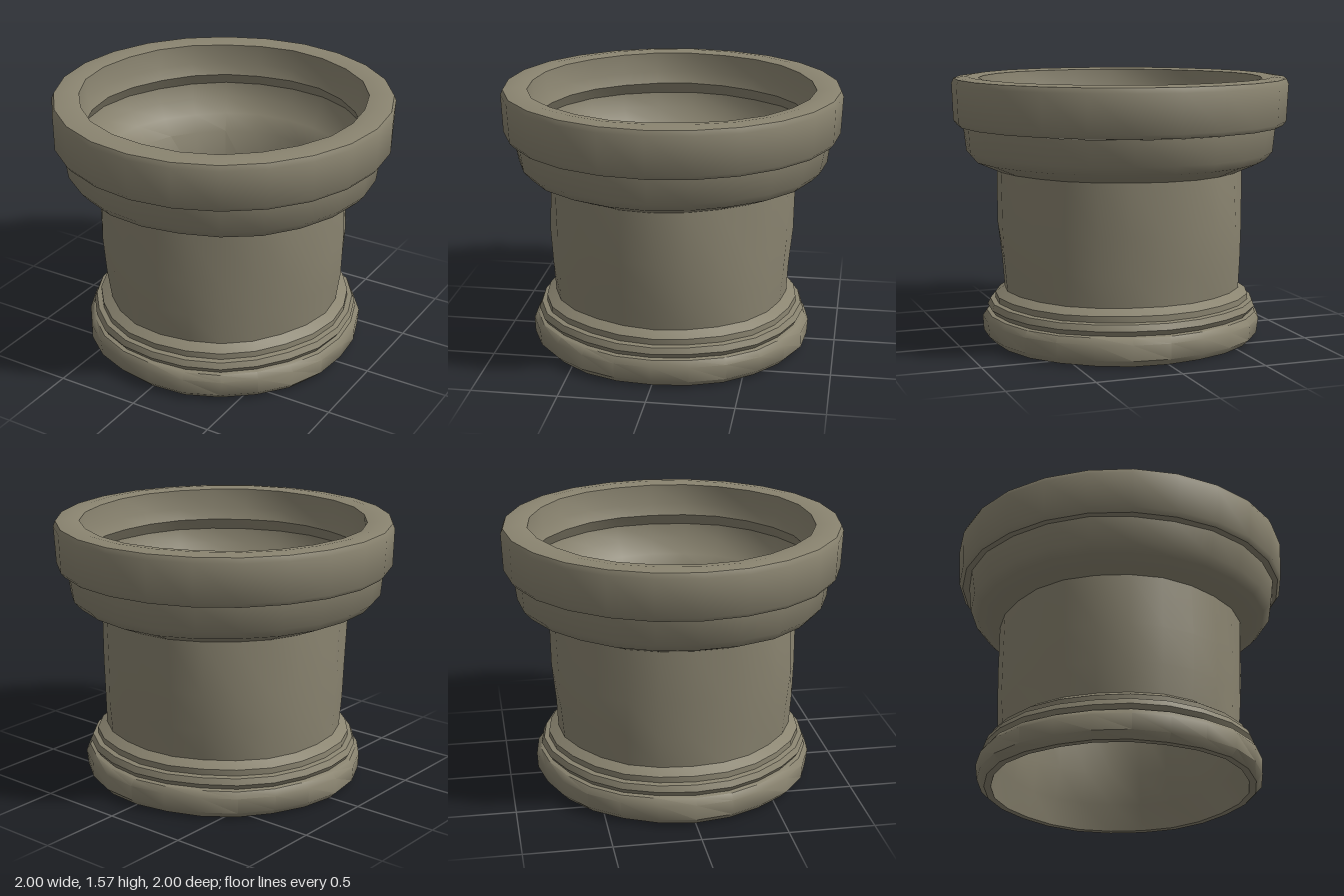
import * as THREE from 'three';
import { toCreasedNormals } from 'three/addons/utils/BufferGeometryUtils.js';

const SIDES = 24;

// Gentle hand-worn unevenness, periodic around the axis
function wear(angle, y) {
  return 0.007 * Math.sin(3 * angle + 4 * y) + 0.005 * Math.sin(7 * angle - 9 * y);
}

// Turned ring from a [radius, height] profile; rising profiles face outward
function turned(name, profile, material) {
  const points = profile.map(([r, y]) => new THREE.Vector2(r, y));
  const geometry = new THREE.LatheGeometry(points, SIDES);
  const pos = geometry.attributes.position;
  for (let i = 0; i < pos.count; i++) {
    const x = pos.getX(i), y = pos.getY(i), z = pos.getZ(i);
    const r = Math.hypot(x, z);
    const k = 1 + (r > 0.96 ? 0.3 : 1) * wear(Math.atan2(x, z), y) / r;
    pos.setX(i, x * k);
    pos.setZ(i, z * k);
  }
  const mesh = new THREE.Mesh(toCreasedNormals(geometry, 0.75), material);
  mesh.name = name;
  return mesh;
}

export function createModel() {
  const group = new THREE.Group();
  group.name = 'hollowPedestal';
  const stone = new THREE.MeshStandardMaterial({ color: 0x8a8470 });
  stone.name = 'weathered stone';

  group.add(
    // Rounded foot with two stepped mouldings
    turned('foot', [[0.75, 0.01], [0.79, 0.01], [0.83, 0.05], [0.835, 0.14], [0.81, 0.175], [0.785, 0.18]], stone),
    turned('footMoulding', [[0.785, 0.18], [0.805, 0.21], [0.79, 0.245], [0.76, 0.25], [0.76, 0.285], [0.705, 0.32]], stone),
    // Plain slightly swollen shaft
    turned('shaft', [[0.705, 0.32], [0.72, 0.5], [0.732, 0.72], [0.73, 1.03]], stone),
    // Flared collar beneath the rim
    turned('collar', [[0.73, 1.03], [0.87, 1.09], [0.915, 1.14], [0.935, 1.29]], stone),
    // Heavy rim with a soft outer edge
    turned('rim', [[0.92, 1.29], [0.97, 1.295], [0.99, 1.32], [0.998, 1.54], [0.985, 1.57], [0.91, 1.58], [0.84, 1.57]], stone),
    // Lip inside the rim, undercut below
    turned('innerLip', [[0.84, 1.57], [0.835, 1.45], [0.81, 1.38], [0.85, 1.31]], stone),
    // Bore running through to the open base
    turned('bore', [[0.85, 1.31], [0.83, 1.22], [0.77, 1.13], [0.69, 1.04], [0.67, 0.7], [0.665, 0.35], [0.71, 0.17], [0.75, 0.01]], stone)
  );
  return group;
}
